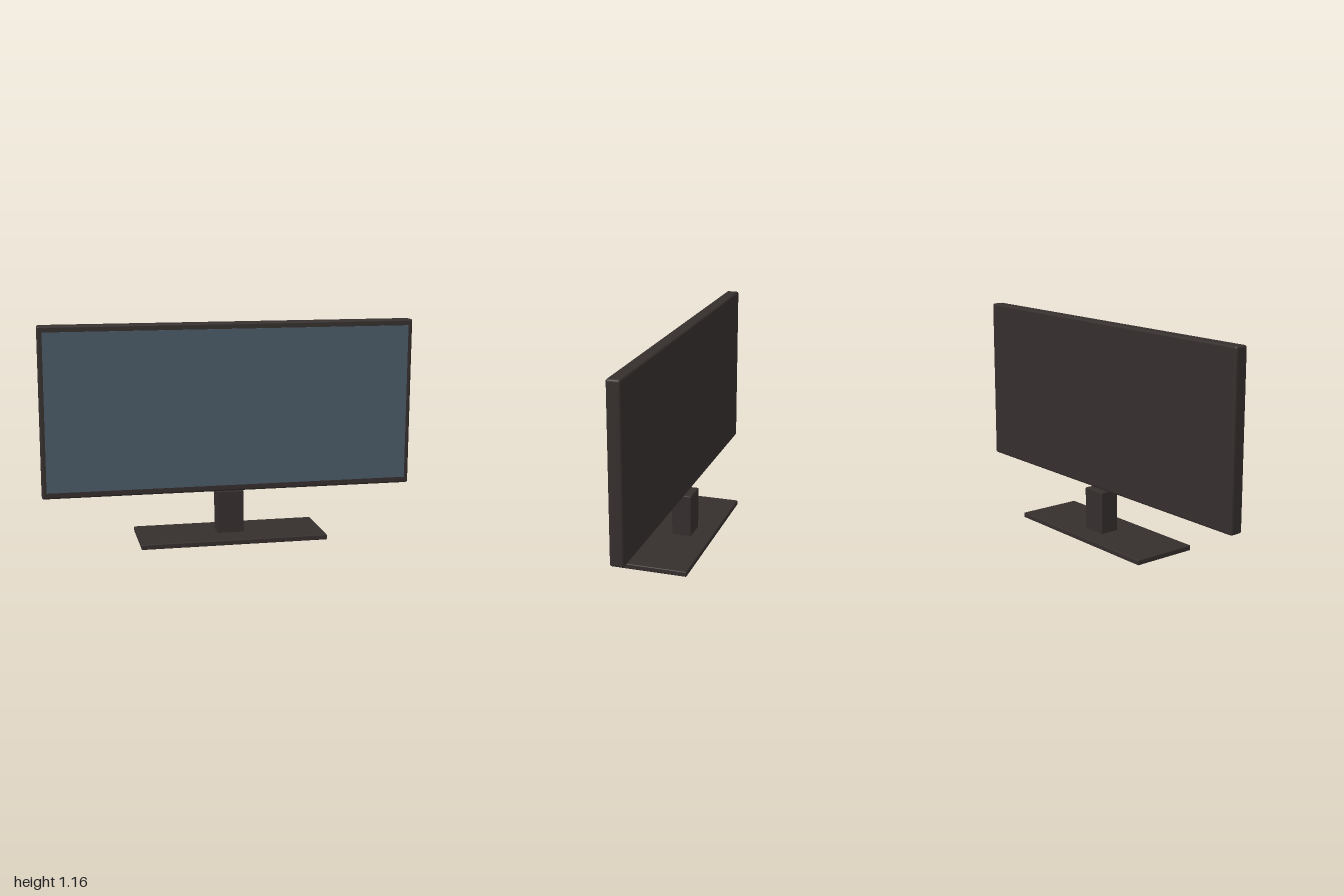
import * as THREE from 'three';
import { RoundedBoxGeometry } from 'three/addons/geometries/RoundedBoxGeometry.js';

const body = new THREE.MeshStandardMaterial({ color: 0x352f2d });
const glass = new THREE.MeshStandardMaterial({ color: 0x4a5a68 });

// Rounded box given by its extents on each axis
function box(name, [x0, x1], [y0, y1], [z0, z1], radius, material) {
  const geometry = new RoundedBoxGeometry(x1 - x0, y1 - y0, z1 - z0, 3, radius);
  const mesh = new THREE.Mesh(geometry, material);
  mesh.name = name;
  mesh.position.set((x0 + x1) / 2, (y0 + y1) / 2, (z0 + z1) / 2);
  return mesh;
}

export function createModel() {
  const monitor = new THREE.Group();
  monitor.name = 'monitor';

  // Stand: flat foot and a neck set slightly to the rear
  const stand = new THREE.Group();
  stand.name = 'stand';
  stand.add(
    box('base', [-0.5, 0.5], [0, 0.028], [-0.18, 0.18], 0.005, body),
    box('neck', [-0.071, 0.071], [0.024, 0.257], [-0.07, 0.037], 0.004, body)
  );

  // Display: housing with a thin screen standing proud of its front
  const display = new THREE.Group();
  display.name = 'display';
  display.add(box('housing', [-1, 1], [0.258, 1.163], [-0.035, 0.037], 0.012, body));
  const screen = new THREE.Mesh(new THREE.BoxGeometry(1.95, 0.838, 0.012), glass);
  screen.name = 'screen';
  screen.position.set(0, 0.711, 0.036);
  display.add(screen);

  monitor.add(stand, display);
  return monitor;
}
